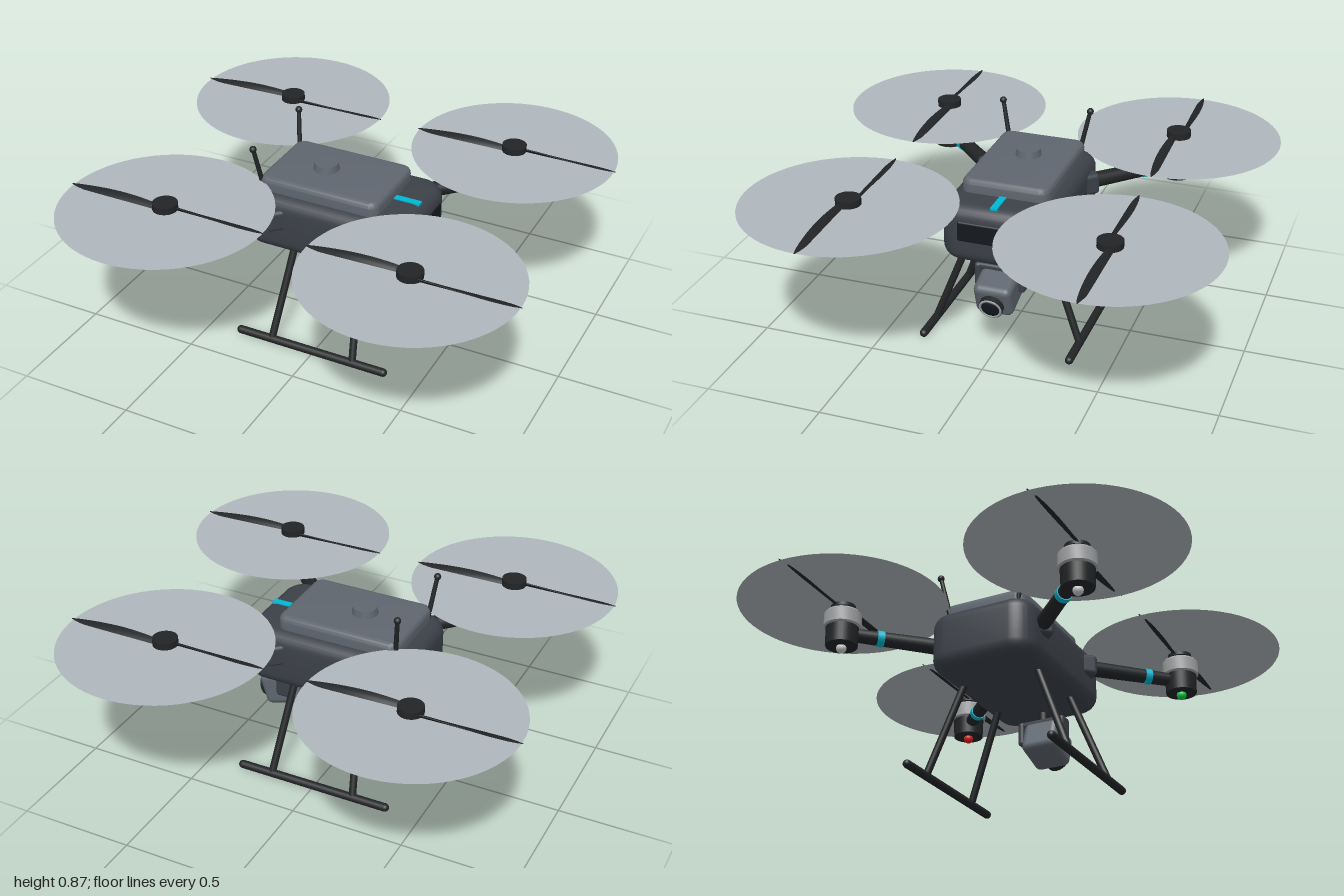
import * as THREE from 'three';
import { RoundedBoxGeometry } from 'three/addons/geometries/RoundedBoxGeometry.js';
import { toCreasedNormals } from 'three/addons/utils/BufferGeometryUtils.js';

const paint = (color, side = THREE.FrontSide) => new THREE.MeshStandardMaterial({ color, side });
const BODY = paint(0x3c4148), PLATE = paint(0x5f666f), BLACK = paint(0x222426), GLASS = paint(0x14181e);
const SILVER = paint(0xa0a2a4), CYAN = paint(0x00b8d4), DISC = paint(0xb0b7bd, THREE.DoubleSide);
const RED = paint(0xe02020), GREEN = paint(0x18d048), WHITE = paint(0xd8d8d8);

function add(parent, name, geometry, material, x = 0, y = 0, z = 0) {
  const mesh = new THREE.Mesh(geometry, material);
  mesh.name = name;
  mesh.position.set(x, y, z);
  parent.add(mesh);
  return mesh;
}

function group(parent, name, x = 0, y = 0, z = 0) {
  const g = new THREE.Group();
  g.name = name;
  g.position.set(x, y, z);
  parent.add(g);
  return g;
}

// Round rod between two points
function rod(parent, name, a, b, r0, r1, material) {
  const p = new THREE.Vector3(...a), q = new THREE.Vector3(...b);
  const dir = q.clone().sub(p);
  const mesh = add(parent, name, new THREE.CylinderGeometry(r1, r0, dir.length(), 20), material);
  mesh.position.copy(p).add(q).multiplyScalar(0.5);
  mesh.quaternion.setFromUnitVectors(new THREE.Vector3(0, 1, 0), dir.normalize());
  return mesh;
}

// Slab with rounded plan corners and rounded upper and lower edges
function slab(w, h, d, corner, bevel) {
  const x = w / 2 - bevel, y = d / 2 - bevel, r = Math.max(corner - bevel, 0.005);
  const s = new THREE.Shape();
  s.absarc(x - r, y - r, r, 0, Math.PI / 2);
  s.absarc(-x + r, y - r, r, Math.PI / 2, Math.PI);
  s.absarc(-x + r, -y + r, r, Math.PI, Math.PI * 1.5);
  s.absarc(x - r, -y + r, r, Math.PI * 1.5, Math.PI * 2);
  s.closePath();
  const g = new THREE.ExtrudeGeometry(s, {
    depth: h - 2 * bevel, bevelSize: bevel, bevelThickness: bevel, bevelSegments: 6, curveSegments: 8,
  });
  g.translate(0, 0, bevel - h / 2).rotateX(-Math.PI / 2);
  return toCreasedNormals(g, 0.6);
}

// Twisted, tapering propeller blade; hand = 1 or -1 sets the direction of rotation
function bladeGeometry(hand) {
  const g = new THREE.BoxGeometry(1, 1, 1, 16, 2, 4);
  const p = g.attributes.position;
  for (let i = 0; i < p.count; i++) {
    const t = p.getX(i) + 0.5, u = p.getZ(i) * 2;
    const chord = (0.036 + 0.075 * t * (1 - t)) * Math.sqrt(Math.max(1 - t ** 3, 0.01));
    const thick = 0.012 * (1 - 0.75 * t) * Math.sqrt(1.05 - u * u);
    const pitch = 0.65 * (1 - t) + 0.12;
    const c = u * chord / 2, h = p.getY(i) * thick;
    const z = c * Math.cos(pitch) - h * Math.sin(pitch) + 0.014 * (1 - 0.4 * t);
    p.setXYZ(i, 0.045 + 0.408 * t, c * Math.sin(pitch) + h * Math.cos(pitch), z);
  }
  g.computeVertexNormals();
  if (hand < 0) g.rotateX(Math.PI).scale(1, 1, 1);
  return toCreasedNormals(g, 0.7);
}

// Arm, motor, light and propeller at one corner
function rotor(parent, sx, sz) {
  const unit = group(parent, (sx > 0 ? 'front' : 'rear') + (sz > 0 ? 'Right' : 'Left') + 'Rotor');
  const along = (t, y = 0.577) => [sx * t, y, sz * t];
  const mount = add(unit, 'armMount', new RoundedBoxGeometry(0.11, 0.095, 0.1, 4, 0.018), BODY, ...along(0.213));
  mount.rotation.y = -Math.atan2(sz, sx);
  rod(unit, 'arm', along(0.2), along(0.53), 0.035, 0.029, BLACK);
  rod(unit, 'armBand', along(0.42), along(0.441), 0.035, 0.035, CYAN);

  const motor = group(unit, 'motor', ...along(0.546, 0));
  add(motor, 'motorBase', new THREE.CylinderGeometry(0.071, 0.068, 0.09, 32), BLACK, 0, 0.562, 0);
  const bell = [[0, 0.6], [0.074, 0.6], [0.08, 0.606], [0.08, 0.664], [0.07, 0.675], [0, 0.675]]
    .map(([r, y]) => new THREE.Vector2(r, y));
  add(motor, 'motorBell', toCreasedNormals(new THREE.LatheGeometry(bell, 32), 0.5), SILVER);
  const light = sx < 0 ? WHITE : sz > 0 ? GREEN : RED;
  add(motor, 'navigationLight', new THREE.SphereGeometry(0.022, 20, 14), light, 0, 0.508, 0);
  add(motor, 'motorShaft', new THREE.CylinderGeometry(0.02, 0.02, 0.04, 16), SILVER, 0, 0.685, 0);
  add(motor, 'propellerHub', new THREE.CylinderGeometry(0.053, 0.053, 0.045, 28), BLACK, 0, 0.711, 0);

  const geometry = bladeGeometry(-sx * sz < 0 ? 1 : -1);
  for (const angle of [0, Math.PI]) {
    add(motor, 'propellerBlade', geometry, BLACK, 0, 0.707, 0).rotation.y = angle;
  }
  add(motor, 'propellerDisc', new THREE.CircleGeometry(0.447, 64).rotateX(-Math.PI / 2), DISC, 0, 0.704, 0);
}

export function createModel() {
  const drone = new THREE.Group();
  drone.name = 'quadcopter';

  // Fuselage
  const hull = group(drone, 'fuselage');
  add(hull, 'hull', slab(0.755, 0.26, 0.48, 0.1, 0.06), BODY, -0.003, 0.542, 0);
  add(hull, 'batteryCover', slab(0.55, 0.1, 0.38, 0.045, 0.025), PLATE, -0.045, 0.68, 0);
  add(hull, 'powerButton', toCreasedNormals(new THREE.CylinderGeometry(0.05, 0.057, 0.035, 32), 0.5), PLATE, -0.09, 0.742, 0);
  add(hull, 'topStripe', new THREE.BoxGeometry(0.115, 0.01, 0.03), CYAN, 0.288, 0.672, 0);
  add(hull, 'frontVisor', new RoundedBoxGeometry(0.02, 0.09, 0.3, 3, 0.009), GLASS, 0.368, 0.564, 0);

  // Four rotor units
  for (const sx of [-1, 1]) for (const sz of [-1, 1]) rotor(drone, sx, sz);

  // Landing gear and antennas on both sides
  for (const s of [-1, 1]) {
    const gear = group(drone, 'landingGear');
    add(gear, 'skid', new THREE.CapsuleGeometry(0.018, 0.685, 8, 18).rotateZ(Math.PI / 2), BLACK, -0.004, 0.02, s * 0.328);
    for (const x of [-1, 1]) {
      rod(gear, 'strut', [x * 0.194, 0.02, s * 0.328], [x * 0.152, 0.44, s * 0.168], 0.016, 0.016, BLACK);
    }
    const antenna = group(drone, 'antenna');
    rod(antenna, 'antennaStem', [-0.302, 0.64, s * 0.155], [-0.328, 0.862, s * 0.2], 0.011, 0.009, BLACK);
    add(antenna, 'antennaTip', new THREE.SphereGeometry(0.015, 16, 12), BLACK, -0.328, 0.86, s * 0.2);
  }

  // Gimbal fork
  const gimbal = group(drone, 'gimbal', 0.253, 0, 0);
  add(gimbal, 'gimbalStem', new THREE.CylinderGeometry(0.022, 0.022, 0.09, 20), BLACK, 0, 0.395, 0);
  add(gimbal, 'gimbalBridge', new RoundedBoxGeometry(0.06, 0.03, 0.21, 3, 0.012), BODY, 0, 0.363, 0);
  for (const s of [-1, 1]) {
    add(gimbal, 'gimbalArm', new RoundedBoxGeometry(0.07, 0.11, 0.03, 4, 0.014), BODY, 0, 0.323, s * 0.097);
  }

  // Camera tilted towards the ground
  const camera = group(drone, 'camera', 0.288, 0.277, 0);
  camera.rotation.z = -0.3;
  add(camera, 'cameraBody', new RoundedBoxGeometry(0.18, 0.148, 0.166, 5, 0.028), PLATE);
  add(camera, 'lensBarrel', new THREE.CylinderGeometry(0.052, 0.052, 0.04, 32).rotateZ(-Math.PI / 2), BLACK, 0.095, -0.008, 0);
  add(camera, 'lensGlass', new THREE.SphereGeometry(0.04, 24, 14).scale(0.25, 1, 1), GLASS, 0.114, -0.008, 0);
  add(camera, 'lensRing', new THREE.TorusGeometry(0.045, 0.006, 10, 32).rotateY(Math.PI / 2), SILVER, 0.113, -0.008, 0);

  return drone;
}
